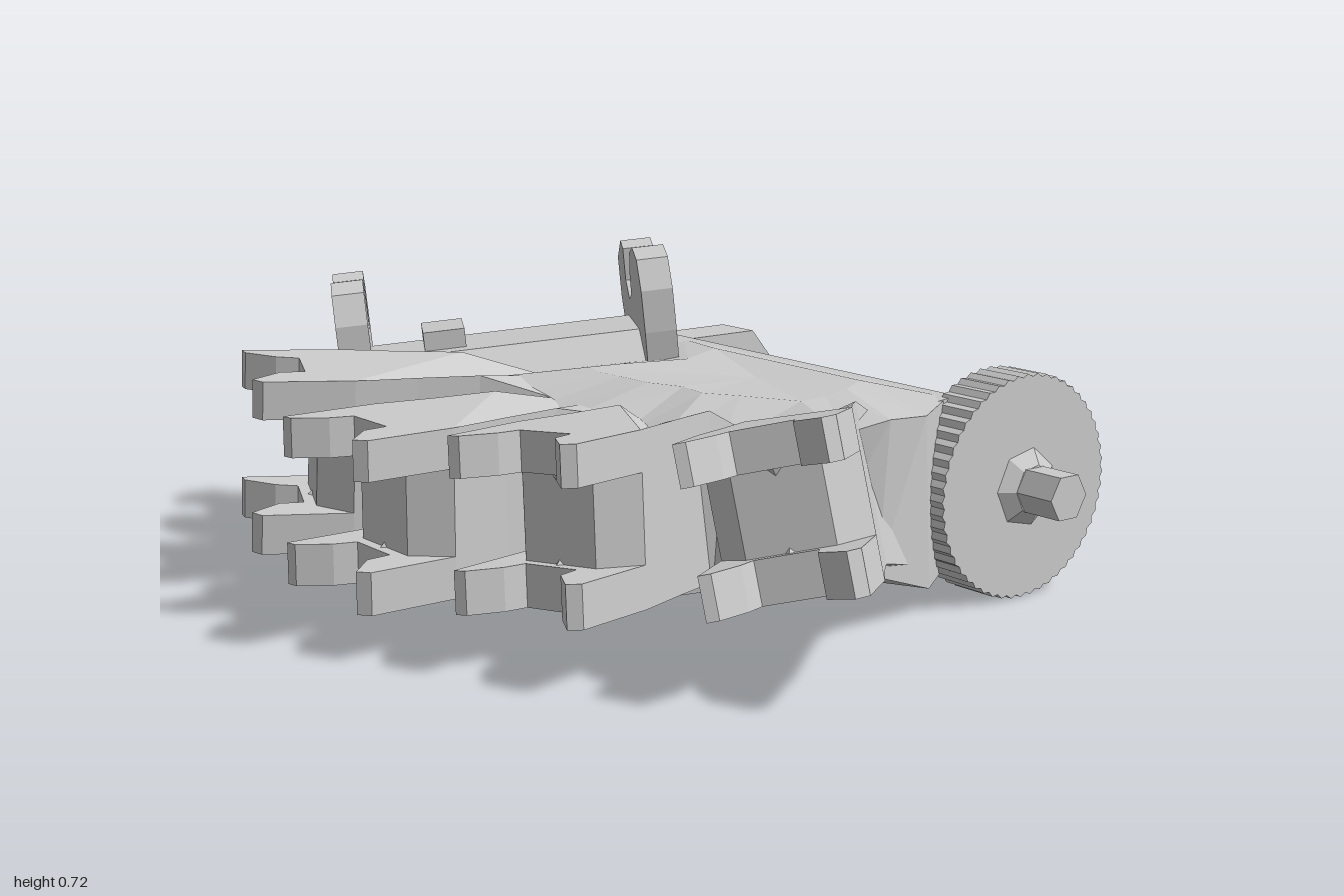
import * as THREE from 'three';

const mat = new THREE.MeshStandardMaterial({ color: 0xcccccc, flatShading: true, side: THREE.DoubleSide });
const rad = THREE.MathUtils.degToRad;

function add(parent, name, geo, x = 0, y = 0, z = 0) {
  const m = new THREE.Mesh(geo, mat);
  m.name = name;
  m.position.set(x, y, z);
  parent.add(m);
  return m;
}

function extrude(pts, depth) {
  const shape = new THREE.Shape(pts.map(p => new THREE.Vector2(p[0], p[1])));
  return new THREE.ExtrudeGeometry(shape, { depth, bevelEnabled: false });
}
// Outline in (x, z), thickness from y0 to y1; the root edge at z = 0 is shifted by sink
function slab(pts, y0, y1, sink = 0) {
  const g = extrude(pts.map(([x, z]) => [x, -z]), y1 - y0).rotateX(-Math.PI / 2).translate(0, y0, 0);
  const p = g.attributes.position;
  for (let i = 0; i < p.count; i++) if (p.getZ(i) < 0.01) p.setY(i, p.getY(i) + sink);
  g.computeVertexNormals();
  return g;
}
// Outline in (z, y), running from x0 to x1
const bar = (pts, x0, x1) =>
  extrude(pts.map(([z, y]) => [-z, y]), x1 - x0).rotateY(Math.PI / 2).translate(x0, 0, 0);

// Faceted palm: each corner is top x, z, y then bottom x, z, y
function palmGeometry() {
  const ring = [
    [-0.45, -0.45, 0.45, -0.5, -0.45, 0.06], [0.48, -0.45, 0.45, 0.48, -0.45, 0.06],
    [0.58, -0.29, 0.445, 0.56, -0.33, 0.055], [0.65, -0.12, 0.47, 0.62, -0.12, 0.13],
    [0.66, 0.02, 0.46, 0.6, 0.06, 0.15], [0.43, 0.14, 0.41, 0.41, 0.15, 0.1],
    [0.3, 0.22, 0.4, 0.31, 0.33, 0.08], [0.15, 0.2, 0.39, 0.14, 0.21, 0.07],
    [0, 0.26, 0.4, -0.01, 0.4, 0.075], [-0.17, 0.27, 0.39, -0.16, 0.28, 0.07],
    [-0.31, 0.28, 0.42, -0.33, 0.42, 0.085], [-0.42, 0.24, 0.43, -0.46, 0.33, 0.085],
    [-0.4, 0.1, 0.43, -0.56, 0.18, 0.07], [-0.32, -0.2, 0.44, -0.56, -0.15, 0.06],
  ];
  const c = [0.07, 0.455, -0.25], cb = [0, 0.055, -0.05], pos = [];
  // inner ridge between the centre and the rim
  const mid = v => [c[0] + (v[0] - c[0]) * 0.55, 0.47, c[2] + (v[2] - c[2]) * 0.55];
  ring.forEach((p, i) => {
    const q = ring[(i + 1) % ring.length];
    const a = [p[0], p[2], p[1]], b = [q[0], q[2], q[1]];
    const A = [p[3], p[5], p[4]], B = [q[3], q[5], q[4]];
    const ma = mid(a), mb = mid(b);
    pos.push(...c, ...mb, ...ma, ...ma, ...mb, ...b, ...ma, ...b, ...a);
    pos.push(...a, ...b, ...B, ...a, ...B, ...A, ...cb, ...A, ...B);
  });
  const g = new THREE.BufferGeometry();
  g.setAttribute('position', new THREE.Float32BufferAttribute(pos, 3));
  g.computeVertexNormals();
  return g;
}

// Finger along local +z: a solid column between two forked plates
function finger(name, x, y, z, L, yaw, pitch, roll, half) {
  const f = new THREE.Group();
  f.name = name;
  f.position.set(x, y, z);
  f.rotation.set(rad(pitch), rad(yaw), rad(roll), 'YXZ');
  const left = [[-0.13, 0], [-0.125, L - 0.5], [-0.14, L - 0.36], [-0.165, L - 0.22]];
  const right = [[0.145, L - 0.22], [0.125, L - 0.36], [0.11, L - 0.5], [0.13, 0]];
  const plate = [...left, [-0.165, L], [-0.14, L - 0.005], [-0.095, L - 0.07], [-0.08, L - 0.12],
    [0.05, L - 0.12], [0.055, L - 0.065], [0.12, L], [0.145, L - 0.02], ...right];
  const column = [...left, [-0.1, L - 0.145], [0.08, L - 0.145], ...right];
  add(f, 'upperFork', slab(plate, half - 0.085, half, -0.06));
  add(f, 'lowerFork', slab(plate, -half, -half + 0.09, -0.03));
  add(f, 'fingerColumn', slab(column, -half + 0.05, half - 0.05, -0.02));
  // small faceted stops inside the forks
  for (const s of [-1, 1]) {
    const nub = add(f, 'forkStop', new THREE.ConeGeometry(0.07, 0.07, 4), -0.012, s * (half - 0.11), L - 0.19);
    if (s > 0) nub.rotation.x = Math.PI;
  }
  return f;
}

// Thumb roller: a chamfered barrel between two upright hooked plates
function thumb() {
  const t = new THREE.Group();
  t.name = 'thumb';
  t.position.set(-0.6, 0.35, -0.02);
  t.rotation.set(0.1, rad(-30), 0, 'YXZ');
  const barrel = [[-0.19, -0.06], [-0.12, -0.18], [0.13, -0.18], [0.19, -0.08], [0.19, 0.06],
    [0.11, 0.13], [-0.1, 0.13], [-0.19, 0.05]];
  add(t, 'thumbBarrel', extrude(barrel, 0.7), 0, 0, -0.35);
  const hook = [[-0.135, -0.16], [-0.1, -0.185], [0.14, -0.185], [0.2, -0.12], [0.235, 0.14], [0.235, 0.24],
    [0.2, 0.31], [0.13, 0.33], [0.06, 0.31], [0.02, 0.25], [0.01, 0.2], [-0.04, 0.18],
    [-0.085, 0.22], [-0.08, 0.3], [-0.12, 0.315], [-0.22, 0.26], [-0.225, 0.16], [-0.17, 0.04]];
  for (const z of [-0.4, 0.315]) add(t, z < 0 ? 'rearHook' : 'frontHook', extrude(hook, 0.075), 0, 0, z);
  add(t, 'thumbBlock', new THREE.BoxGeometry(0.15, 0.08, 0.1), -0.01, 0.135, 0.14);
  return t;
}

export function createModel() {
  const root = new THREE.Group();
  root.name = 'mechanicalHand';
  add(root, 'palm', palmGeometry());

  // Grooved rear bar across the wrist
  const wrist = [[-0.3, 0.44], [-0.46, 0.455], [-0.55, 0.385], [-0.55, 0.36], [-0.49, 0.35], [-0.49, 0.315],
    [-0.54, 0.305], [-0.54, 0.195], [-0.49, 0.185], [-0.49, 0.15], [-0.55, 0.14], [-0.55, 0.12],
    [-0.46, 0.06], [-0.3, 0.06]];
  add(root, 'wristBar', bar(wrist, -0.5, 0.5));

  // Notched wheel
  const teeth = 52, rim = [];
  for (let i = 0; i < teeth * 2; i++) {
    const a = (i / teeth) * Math.PI, r = i % 2 ? 0.245 : 0.252;
    rim.push([-0.58 + r * Math.cos(a), 0.252 + r * Math.sin(a)]);
  }
  add(root, 'wheel', bar(rim, 0.48, 0.595));

  // Eight-sided end plate
  const plate = [[-0.76, 0.17], [-0.66, 0.06], [-0.47, 0.06], [-0.36, 0.15],
    [-0.36, 0.35], [-0.47, 0.45], [-0.67, 0.45], [-0.76, 0.34]];
  add(root, 'endPlate', bar(plate, -0.565, -0.445));

  // Axle stubs with faceted collars on both outer faces
  for (const s of [-1, 1]) {
    const x = s > 0 ? 0.595 : -0.565;
    const collar = add(root, 'axleCollar', new THREE.CylinderGeometry(0.055, 0.09, 0.025, 7), x + s * 0.012, 0.25, -0.585);
    const stub = add(root, 'axleStub', new THREE.CylinderGeometry(0.055, 0.055, 0.13, 6), x + s * 0.06, 0.25, -0.585);
    collar.rotation.z = stub.rotation.z = -s * Math.PI / 2;
  }

  root.add(
    finger('firstFinger', -0.25, 0.285, 0.086, 0.7, -23, -2, -3, 0.195),
    finger('secondFinger', -0.01, 0.28, 0.055, 0.77, 0, 0, 0, 0.18),
    finger('thirdFinger', 0.255, 0.285, 0.06, 0.61, 15.5, -2, 4, 0.18),
    finger('fourthFinger', 0.43, 0.29, -0.165, 0.695, 39, -7.5, 13, 0.17),
    thumb()
  );
  return root;
}
